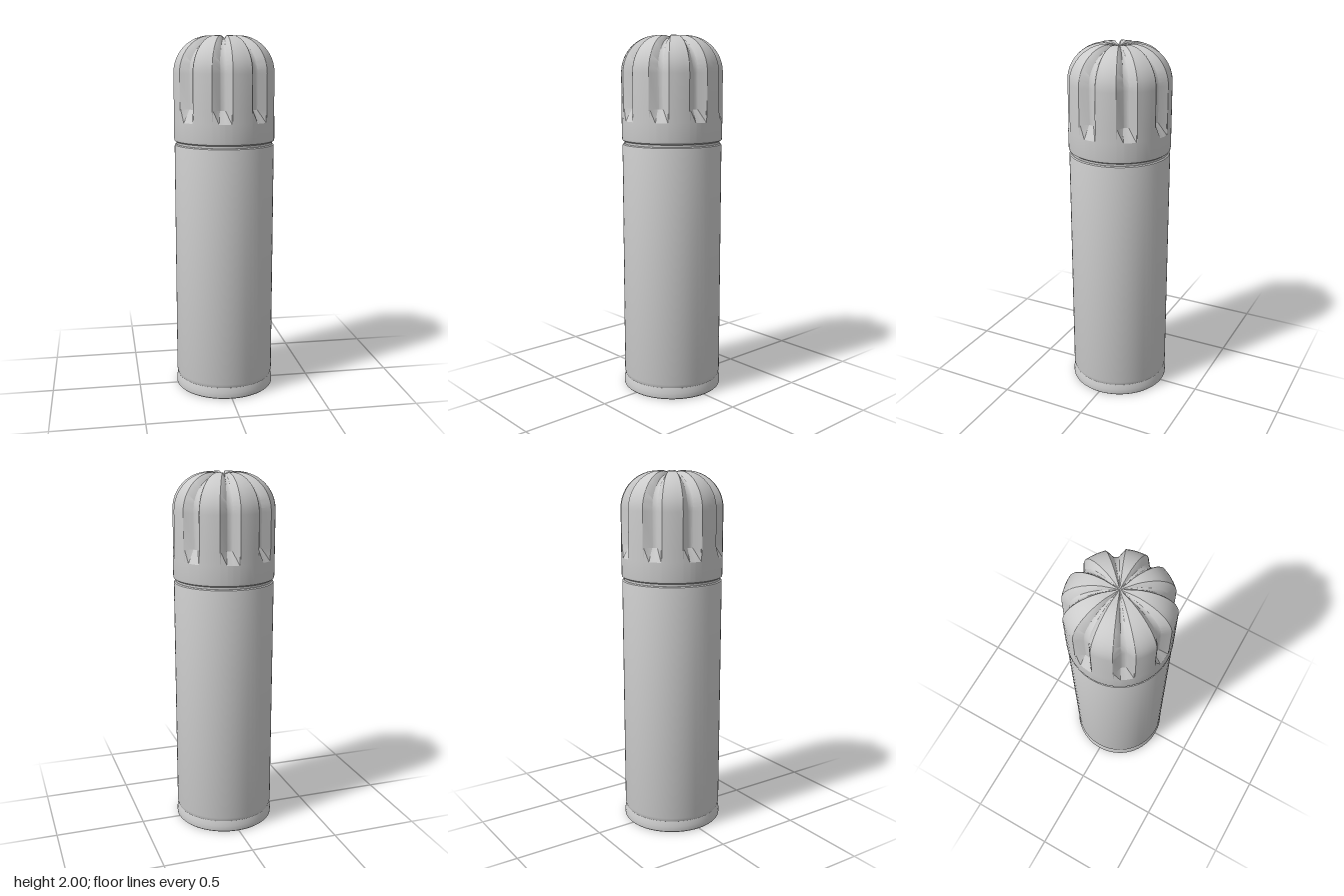
import * as THREE from 'three';
import { toCreasedNormals } from 'three/addons/utils/BufferGeometryUtils.js';

const material = new THREE.MeshStandardMaterial({ color: 0xcccccc });
const CREASE = 0.45;

function addPart(group, name, geometry) {
  const mesh = new THREE.Mesh(toCreasedNormals(geometry, CREASE), material);
  mesh.name = name;
  group.add(mesh);
}

function lathe(points) {
  return new THREE.LatheGeometry(points.map(([r, y]) => new THREE.Vector2(r, y)), 64);
}

// Domed cap with eight scooped grooves: every row has an outer and a groove-floor radius/height
function capGeometry() {
  const rows = [];
  const row = (r, y, floorR = r, floorY = y) => rows.push({ r, y, floorR, floorY });
  row(0, 1.425);
  row(0.268, 1.425);
  row(0.278, 1.432);
  row(0.28, 1.445);
  row(0.28, 1.54);
  row(0.28, 1.61, 0.24, 1.61);
  const steps = 12;
  for (let i = 0; i <= steps; i++) {
    const t = i / steps, a = t * Math.PI / 2;
    const inner = 0.2 - 0.04 * (1 - 0.5 * t * t);
    row(0.08 + 0.2 * Math.cos(a), 1.8 + 0.2 * Math.sin(a),
      0.08 + inner * Math.cos(a), 1.8 + inner * Math.sin(a));
  }
  row(0, 1.985);

  // One 45 degree sector: [angle in degrees, groove depth weight]
  const sector = [[0, 0], [1, 0.07], [7.7, 0.95], [9, 1], [13.5, 1], [14.8, 0.95], [21.5, 0.07],
    [22.5, 0], [28.1, 0], [33.75, 0], [39.4, 0]];
  const columns = [];
  for (let k = 0; k < 8; k++) {
    for (const [deg, w] of sector) columns.push([THREE.MathUtils.degToRad(deg + 45 * k), w]);
  }

  const positions = [], indices = [], n = columns.length;
  for (const p of rows) {
    for (const [angle, w] of columns) {
      const r = THREE.MathUtils.lerp(p.r, p.floorR, w);
      positions.push(r * Math.cos(angle), THREE.MathUtils.lerp(p.y, p.floorY, w), r * Math.sin(angle));
    }
  }
  for (let j = 0; j < rows.length - 1; j++) {
    for (let i = 0; i < n; i++) {
      const a = j * n + i, b = j * n + (i + 1) % n, c = a + n, d = b + n;
      if (rows[j + 1].r > 0) indices.push(a, c, d);
      if (rows[j].r > 0) indices.push(a, d, b);
    }
  }
  const geometry = new THREE.BufferGeometry();
  geometry.setAttribute('position', new THREE.Float32BufferAttribute(positions, 3));
  geometry.setIndex(indices);
  return geometry;
}

export function createModel() {
  const group = new THREE.Group();
  group.name = 'vacuumFlask';

  // Flared foot ring with a flat underside
  addPart(group, 'base', lathe([
    [0, 0], [0.274, 0], [0.279, 0.005], [0.28, 0.015], [0.279, 0.035], [0.275, 0.05], [0.272, 0.065], [0.27, 0.07],
  ]));

  // Straight body with softened ends
  addPart(group, 'body', lathe([
    [0.27, 0.06], [0.274, 0.07], [0.277, 0.085], [0.277, 1.4], [0.275, 1.408], [0.269, 1.413], [0, 1.413],
  ]));

  // Recessed seam between body and cap
  addPart(group, 'seam', lathe([[0.266, 1.405], [0.266, 1.43]]));

  addPart(group, 'cap', capGeometry());
  return group;
}
